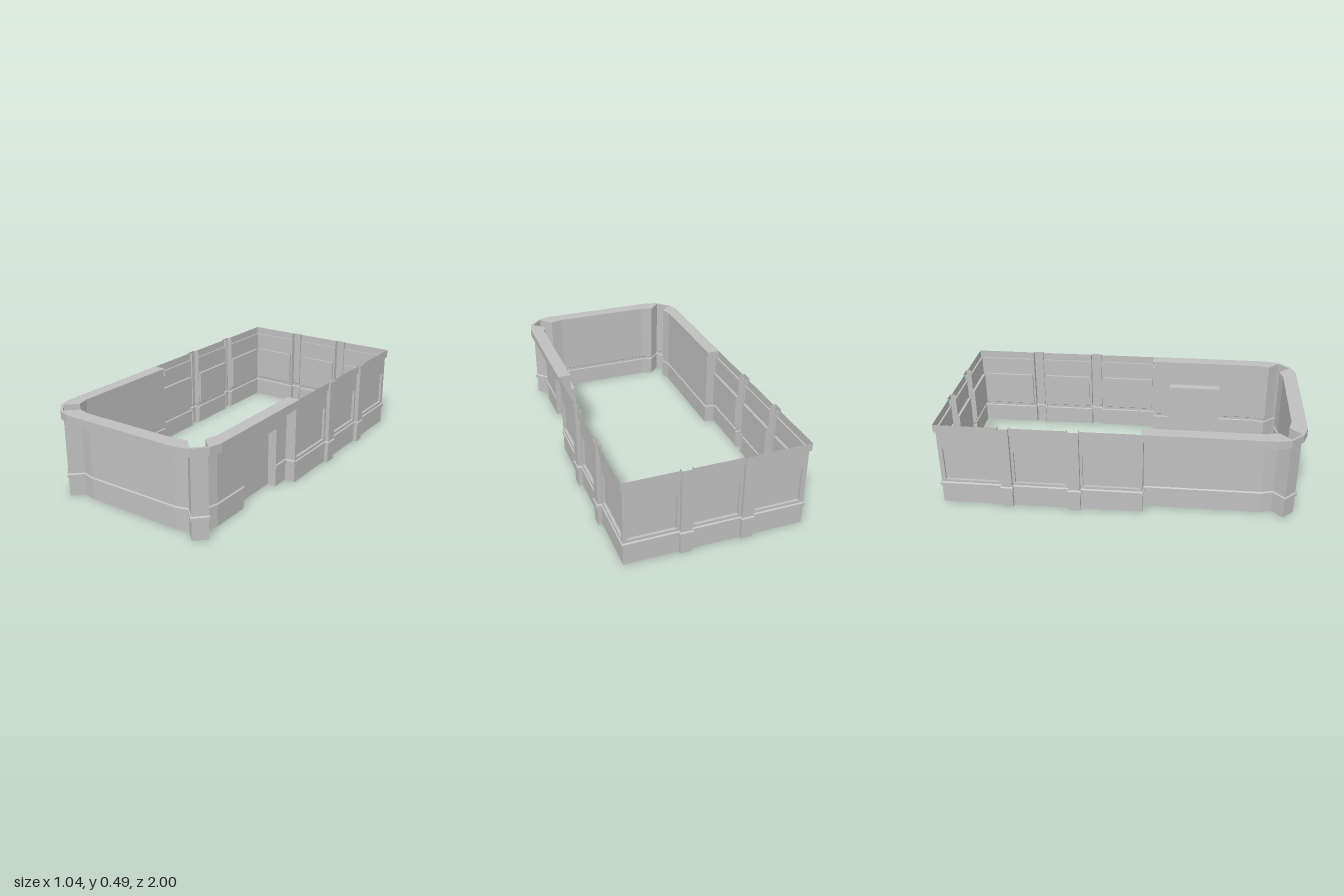
import * as THREE from 'three';

const stone = new THREE.MeshStandardMaterial({ color: 0xbfbfbf, side: THREE.DoubleSide });
stone.name = 'stone grey';

const H = 0.49, FRIEZE = 0.445, DOOR = 0.34;
// [height, outward offset] profiles
const BASE = [[0, 0], [0.106, 0], [0.109, 0.007], [0.125, 0.007], [0.13, 0]];
const FULL = [...BASE, [H, 0]];
const FRIEZE_PROFILE = [[FRIEZE, 0], [FRIEZE, 0.01], [H, 0.01]];

// Flat-shaded surface through rows of points
function grid(name, rows) {
  const pos = [];
  for (let j = 0; j < rows.length - 1; j++) {
    for (let i = 0; i < rows[j].length - 1; i++) {
      const a = rows[j][i], b = rows[j][i + 1], c = rows[j + 1][i + 1], d = rows[j + 1][i];
      pos.push(...a, ...d, ...b, ...b, ...d, ...c);
    }
  }
  const g = new THREE.BufferGeometry();
  g.setAttribute('position', new THREE.Float32BufferAttribute(pos, 3));
  g.computeVertexNormals();
  const mesh = new THREE.Mesh(g, stone);
  mesh.name = name;
  return mesh;
}

// Outward unit normal of a plan segment
function normal(a, b) {
  const dx = b[0] - a[0], dz = b[1] - a[1], l = Math.hypot(dx, dz);
  return [dz / l, -dx / l];
}

// Sweep a vertical profile along a plan path [x, z], mitring the corners
function sheet(name, path, profile) {
  const mitres = path.map((p, i) => {
    const n1 = i > 0 ? normal(path[i - 1], p) : normal(p, path[i + 1]);
    const n2 = i < path.length - 1 ? normal(p, path[i + 1]) : n1;
    const k = 1 + n1[0] * n2[0] + n1[1] * n2[1];
    return [(n1[0] + n2[0]) / k, (n1[1] + n2[1]) / k];
  });
  return grid(name, profile.map(([y, o]) =>
    path.map((p, i) => [p[0] + mitres[i][0] * o, y, p[1] + mitres[i][1] * o])));
}

// Wall field between base and frieze with a recessed panel
function panel(a, b, startMargin, endMargin) {
  const n = normal(a, b), len = Math.hypot(b[0] - a[0], b[1] - a[1]);
  const t = [(b[0] - a[0]) / len, (b[1] - a[1]) / len];
  const at = (u, y, o) => [a[0] + t[0] * u + n[0] * o, y, a[1] + t[1] * u + n[1] * o];
  const loop = (u0, u1, y0, y1, o) =>
    [[u0, y0], [u1, y0], [u1, y1], [u0, y1], [u0, y0]].map(([u, y]) => at(u, y, o));
  const u0 = startMargin, u1 = len - endMargin, um = (u0 + u1) / 2;
  return grid('recessedPanel', [
    loop(0, len, 0.13, FRIEZE, 0),
    loop(u0, u1, 0.145, DOOR, 0),
    loop(u0, u1, 0.145, DOOR, -0.015),
    loop(um, um, 0.24, 0.24, -0.015),
  ]);
}

const mirror = (path) => path.map(([x, z]) => [-x, z]).reverse();

export function createModel() {
  const model = new THREE.Group();
  model.name = 'wallRing';
  const X = 0.49, Z = -0.975, J = 0.14;

  // Rear walls: runs between pilasters, following the ring
  const side = [
    [[X, -0.2], [X, J]],
    [[X, -0.575], [X, -0.265]],
    [[0.197, Z], [X, Z], [X, -0.635]],
  ];
  const runs = [...side, ...side.map(mirror), [[-0.135, Z], [0.135, Z]]];
  for (const run of runs) {
    const wall = new THREE.Group();
    wall.name = 'rearWall';
    wall.add(sheet('wallBase', run, BASE), sheet('frieze', run, FRIEZE_PROFILE));
    for (let i = 0; i < run.length - 1; i++) {
      const corner = run.length > 2;
      wall.add(panel(run[i], run[i + 1], corner && i === 1 ? 0.025 : 0.015, corner && i === 0 ? 0.025 : 0.015));
    }
    model.add(wall);
  }

  // Rear pilasters, open to the inside
  for (const [z0, z1] of [[-0.265, -0.2], [-0.635, -0.575]]) {
    const p = [[X - 0.01, z0], [0.513, z0], [0.513, z1], [X - 0.01, z1]];
    model.add(sheet('leftPilaster', p, FULL), sheet('rightPilaster', mirror(p), FULL));
  }
  const back = [[0.135, Z + 0.01], [0.135, -0.993], [0.197, -0.993], [0.197, Z + 0.01]];
  model.add(sheet('backPilaster', back, FULL), sheet('backPilaster', mirror(back), FULL));

  // Front wall with diagonal corner pilasters
  const w = 0.43, d0 = 0.24, d1 = 0.55;
  const corner = [[w, 0.78], [0.412, 0.845], [0.472, 0.905], [0.412, 0.965], [0.35, 0.903], [0.28, 0.92]];
  model.add(
    sheet('frontWall', [[w, d1], ...corner, ...mirror(corner), [-w, J], [-X, J]], FULL),
    sheet('doorSideWall', [[X, J], [w, J], [w, d0]], FULL),
    sheet('doorLintel', [[w, d0], [w, d1]], [[DOOR, 0], [H, 0]]),
  );

  // Door recess
  const recess = [[w, d0], [0.38, d0], [0.38, d1], [w, d1]];
  model.add(
    sheet('doorRecess', recess, [[0, 0], [DOOR, 0]]),
    grid('doorRecessTop', [[[0.38, DOOR, d0], [w, DOOR, d0]], [[0.38, DOOR, d1], [w, DOOR, d1]]]),
  );

  // Overhanging cornice around the front
  const inner = [[w, J - 0.01], ...corner];
  const outer = [[0.503, J - 0.01], [0.503, 0.84], [0.503, 0.84], [0.485, 0.91], [0.42, 0.975], [0.35, 1], [0.35, 1]];
  const ins = [...inner, ...mirror(inner)], outs = [...outer, ...mirror(outer)];
  const row = (path, y) => path.map(([x, z]) => [x, y, z]);
  model.add(grid('cornice', [row(ins, FRIEZE), row(outs, FRIEZE), row(outs, H), row(ins, H)]));
  for (const s of [1, -1]) {
    model.add(grid('corniceEnd', [FRIEZE, H].map((y) => [[s * w, y, J - 0.01], [s * 0.503, y, J - 0.01]])));
  }
  return model;
}
